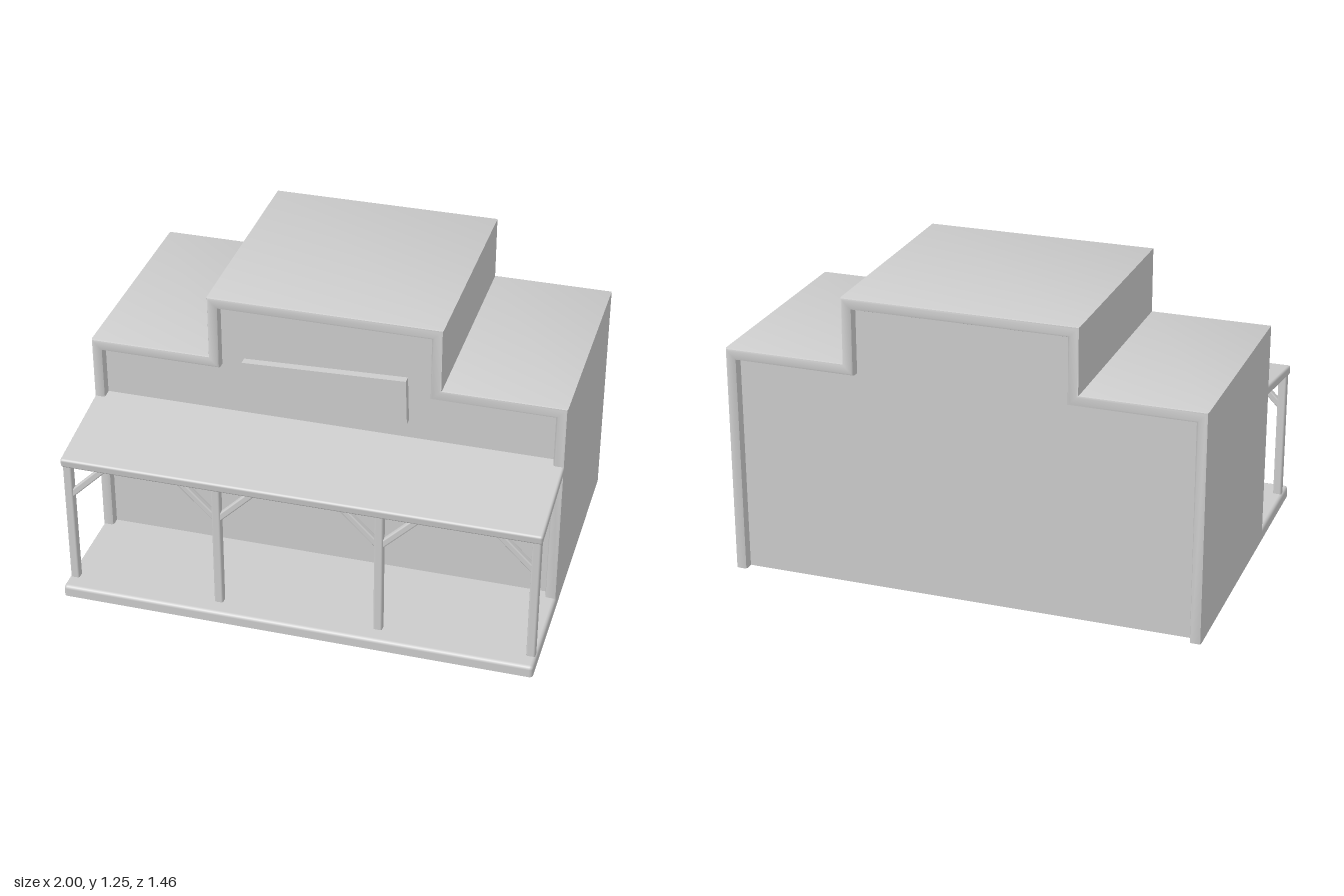
import * as THREE from 'three';
import { toCreasedNormals } from 'three/addons/utils/BufferGeometryUtils.js';
import { RoundedBoxGeometry } from 'three/addons/geometries/RoundedBoxGeometry.js';

const material = new THREE.MeshStandardMaterial({ color: 0xcccccc });
const BEVEL = 0.01;

function add(parent, name, geometry, x = 0, y = 0, z = 0) {
  const mesh = new THREE.Mesh(geometry, material);
  mesh.name = name;
  mesh.position.set(x, y, z);
  parent.add(mesh);
  return mesh;
}

const softBox = (w, h, d, r = BEVEL) => new RoundedBoxGeometry(w, h, d, 2, r);

// Squares off everything below the ground so rounded parts stand flat on y = 0
function cutAtGround(geometry) {
  const p = geometry.attributes.position;
  for (let i = 0; i < p.count; i++) p.setY(i, Math.max(0, p.getY(i)));
  return geometry;
}

// Right half of the stepped false-front outline, mirrored to both sides
function steppedOutline(inset, bottom) {
  const half = [
    [1 - inset, bottom], [1 - inset, 0.978 - inset],
    [0.49 - inset, 0.978 - inset], [0.49 - inset, 1.255 - inset],
  ];
  const mirrored = half.map(([x, y]) => [-x, y]).reverse();
  return [...half, ...mirrored].map(([x, y]) => new THREE.Vector2(x, y));
}

export function createModel() {
  const model = new THREE.Group();
  model.name = 'storefront';

  // Outer shell: side walls and stepped roof, open at front, back and bottom
  const shellShape = new THREE.Shape([
    ...steppedOutline(0, -0.05), ...steppedOutline(0.047, -0.05).reverse(),
  ]);
  const shell = new THREE.ExtrudeGeometry(shellShape, {
    depth: 0.99 - 2 * BEVEL, bevelSize: BEVEL, bevelOffset: -BEVEL,
    bevelThickness: BEVEL, bevelSegments: 2,
  });
  add(model, 'wallsAndRoof', toCreasedNormals(cutAtGround(shell), 0.6), 0, 0, -0.73 + BEVEL);

  // Recessed front and back walls
  const core = new THREE.ExtrudeGeometry(new THREE.Shape(steppedOutline(0.025, 0)), {
    depth: 0.91, bevelEnabled: false,
  });
  add(model, 'recessedWalls', core, 0, 0, -0.69);

  // Porch deck
  add(model, 'porchDeck', cutAtGround(softBox(2, 0.1, 0.55, 0.015)), 0, 0, 0.455);

  // Sloping porch roof
  const canopy = add(model, 'porchRoof', softBox(1.998, 0.041, 0.475), 0, 0.66, 0.434);
  canopy.rotation.x = 0.146;

  // Porch posts with diagonal braces
  const postGeometry = softBox(0.037, 0.58, 0.038, 0.008);
  const braceGeometry = softBox(0.028, 0.215, 0.028, 0.006);
  for (const x of [-0.975, -0.34, 0.34, 0.975]) {
    const post = new THREE.Group();
    post.name = 'porchPost';
    post.position.set(x, 0, 0.641);
    model.add(post);
    add(post, 'postShaft', postGeometry, 0, 0.33, 0);
    for (const side of [-1, 1]) {
      if (Math.abs(x + side * 0.15) > 1) continue;
      const brace = add(post, 'postBrace', braceGeometry, side * 0.083, 0.543, 0);
      brace.rotation.z = -side * Math.PI / 4;
    }
  }

  // Slightly crooked blank sign board
  const sign = add(model, 'signBoard', new THREE.BoxGeometry(0.69, 0.2, 0.05), 0, 0.883, 0.23);
  sign.rotation.z = 0.036;

  return model;
}
